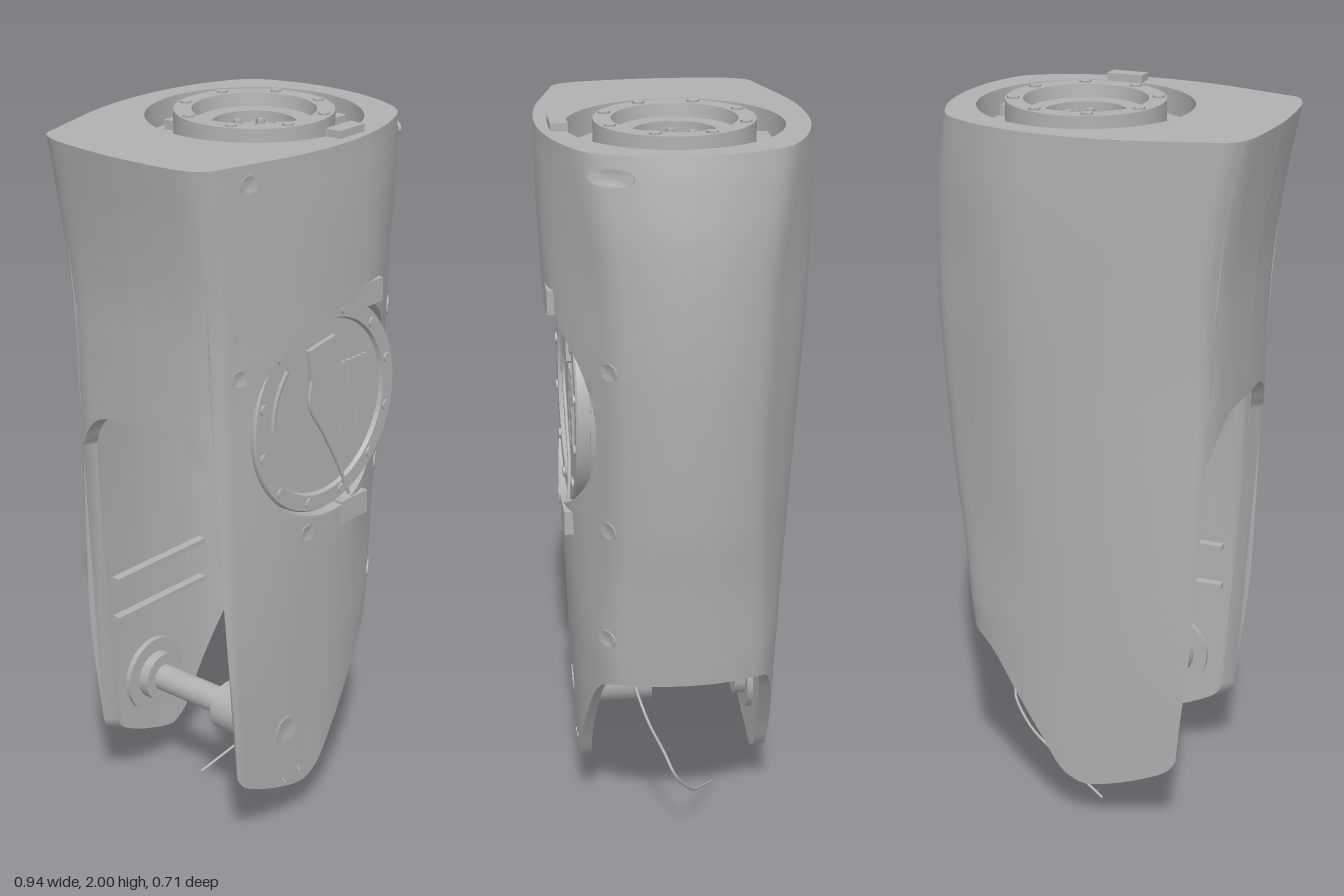
import * as THREE from 'three';
import { toCreasedNormals } from 'three/addons/utils/BufferGeometryUtils.js';
import { ParametricGeometry } from 'three/addons/geometries/ParametricGeometry.js';

const TOP = 1.98, WALL = 0.03, CUT = 0.03;
const DISC = { x: 0.03, y: 1.25, r: 0.294 };
const { smoothstep, lerp } = THREE.MathUtils;

// Smooth interpolation through [position, value] pairs
function table(pts) {
  const slope = i => {
    const a = pts[Math.max(i - 1, 0)], b = pts[Math.min(i + 1, pts.length - 1)];
    return (b[1] - a[1]) / (b[0] - a[0]);
  };
  return p => {
    if (p <= pts[0][0]) return pts[0][1];
    if (p >= pts[pts.length - 1][0]) return pts[pts.length - 1][1];
    let i = 0;
    while (pts[i + 1][0] < p) i++;
    const h = pts[i + 1][0] - pts[i][0], t = (p - pts[i][0]) / h, t2 = t * t, t3 = t2 * t;
    return (2 * t3 - 3 * t2 + 1) * pts[i][1] + (t3 - 2 * t2 + t) * h * slope(i)
      + (3 * t2 - 2 * t3) * pts[i + 1][1] + (t3 - t2) * h * slope(i + 1);
  };
}

// Shell silhouette by height, and the lower hem by x
const leftX = table([[0.13, -0.30], [0.27, -0.31], [0.6, -0.35], [1, -0.376], [1.23, -0.388], [1.4, -0.394], [1.6, -0.406], [1.8, -0.435], [1.98, -0.47]]);
const rightX = table([[0.13, 0.33], [0.53, 0.38], [0.8, 0.412], [1, 0.44], [1.35, 0.466], [1.55, 0.47], [1.75, 0.46], [1.9, 0.437], [1.98, 0.42]]);
const halfZ = table([[0.13, 0.262], [0.5, 0.28], [0.9, 0.304], [1.25, 0.326], [1.55, 0.345], [1.8, 0.355], [1.98, 0.355]]);
const hemY = table([[-0.31, 0.32], [-0.295, 0.27], [-0.27, 0.22], [-0.2, 0.18], [-0.1, 0.145], [-0.03, 0.13], [0, 0.135], [0.05, 0.17], [0.1, 0.25], [0.2, 0.4], [0.25, 0.47], [0.3, 0.51], [0.38, 0.53], [0.5, 0.53]]);
// How much rounder the right side and squarer the left side get by height
const roundRight = table([[0.6, 0], [0.98, 0.14], [1.4, 0.18], [1.65, 0.17], [1.98, 0]]);
const squareLeft = table([[0.13, 0.85], [0.5, 0.8], [0.9, 0.45], [1.3, 0.08], [1.5, 0]]);

// Half of the normalised cross-section, from the left middle to the right middle
const half = new THREE.CatmullRomCurve3([
  [0, 0], [0.008, 0.35], [0.025, 0.62], [0.058, 0.76], [0.11, 0.8], [0.2, 0.865], [0.35, 0.96], [0.52, 1],
  [0.68, 0.965], [0.82, 0.86], [0.92, 0.71], [0.965, 0.5], [0.992, 0.25], [1, 0],
].map(([s, w]) => new THREE.Vector3(s, w * 0.4, 0))).getSpacedPoints(72).map(p => ({ s: p.x, w: p.y / 0.4 }));
half[0].w = half[72].w = 0;

function width(s, w, y) {
  const power = 1 - squareLeft(y) * (1 - smoothstep(s, 0.35, 0.55));
  return Math.sign(w) * Math.abs(w) ** power * (1 - roundRight(y) * smoothstep(s, 0.6, 0.95));
}
function sectionPoint(s, w, y, inset, target) {
  const a = leftX(y) + inset, b = rightX(y) - inset;
  return target.set(a + s * (b - a), y, width(s, w, y) * (halfZ(y) - inset));
}
function frontZ(x, y) {
  const s = (x - leftX(y)) / (rightX(y) - leftX(y));
  let i = 0;
  while (i < 71 && half[i + 1].s < s) i++;
  const a = half[i], b = half[i + 1];
  return halfZ(y) * width(s, lerp(a.w, b.w, (s - a.s) / (b.s - a.s)), y);
}

// Round recess with a crisp edge: nearby points are drawn onto its rim and foot
function recess(p, inner) {
  const dx = p.x - DISC.x, dy = p.y - DISC.y, d = Math.hypot(dx, dy), e = d - DISC.r;
  if (p.z <= 0 || e > 0.06) return;
  if (inner) {
    p.z = lerp(Math.min(p.z, 0.225), p.z, smoothstep(e, 0, 0.05));
    return;
  }
  if (e > 0.012) return;
  const onRim = e > -0.012;
  if (e > -0.036) {
    const k = (onRim ? DISC.r : DISC.r - 0.002) / d;
    p.x = DISC.x + dx * k;
    p.y = DISC.y + dy * k;
  }
  p.z = onRim ? frontZ(p.x, p.y) : 0.25;
}

// Hollow shell, open at the bottom and low on one side
function shellGeometry() {
  const side = [];
  let cut = false;
  for (const p of half) {
    if (!cut && p.s > CUT) { cut = true; side.push({ ...p, open: true }); }
    side.push({ ...p, open: !cut });
  }
  for (const c of side) {
    if (c.open) { c.y = 1.24 - 0.12 * Math.min(1, c.w / 0.65) ** 4; continue; }
    c.y = 0.3;
    for (let k = 0; k < 30; k++) {
      const x = leftX(c.y) + c.s * (rightX(c.y) - leftX(c.y));
      c.y = (c.y + hemY(x)) / 2;
    }
  }
  const cols = [...side.map(c => ({ ...c, w: -c.w })), ...side.slice(0, -1).reverse()];
  const n = 100, rows = 2 * n + 1;
  const geo = new ParametricGeometry((u, v, target) => {
    const c = cols[Math.round(u * (cols.length - 1))], j = Math.round(v * rows);
    const inner = j > n, t = inner ? (j - n - 1) / n : 1 - j / n;
    sectionPoint(c.s, c.w, c.y + (TOP - c.y) * t, inner ? WALL : 0, target);
    recess(target, inner);
  }, cols.length - 1, rows);
  return toCreasedNormals(geo, 0.7);
}

export function createModel() {
  const model = new THREE.Group();
  model.name = 'limbShell';
  const grey = new THREE.MeshStandardMaterial({ color: 0xb0b0b0 });
  grey.name = 'grey';
  const add = (name, geo, x = 0, y = 0, z = 0, parent = model) => {
    const m = new THREE.Mesh(geo, grey);
    m.name = name;
    m.position.set(x, y, z);
    parent.add(m);
    return m;
  };
  const box = (name, w, h, d, x, y, z, parent) => add(name, new THREE.BoxGeometry(w, h, d), x, y, z, parent);
  const lathe = (pts, seg = 48) => toCreasedNormals(
    new THREE.LatheGeometry(pts.map(p => new THREE.Vector2(...p)), seg), 0.5);
  const rod = (name, r, z0, z1, x, y, parent) => {
    const geo = new THREE.CylinderGeometry(r, r, z1 - z0, 32).rotateX(Math.PI / 2);
    return add(name, geo, x, y, (z0 + z1) / 2, parent);
  };
  const wire = (name, pts, r, parent) => add(name, new THREE.TubeGeometry(
    new THREE.CatmullRomCurve3(pts.map(p => new THREE.Vector3(...p))), 48, r, 8), 0, 0, 0, parent);

  add('shell', shellGeometry());

  // Top plate with round opening
  const p = new THREE.Vector3();
  const ring = [...half, ...half.slice(1, -1).reverse().map(c => ({ s: c.s, w: -c.w }))]
    .map(c => { sectionPoint(c.s, c.w, TOP, 0, p); return new THREE.Vector2(p.x, p.z); });
  const plate = new THREE.Shape(ring);
  plate.holes.push(new THREE.Path().absarc(0.07, 0, 0.285, 0, Math.PI * 2));
  add('topPlate', new THREE.ShapeGeometry(plate, 24).rotateX(-Math.PI / 2), 0, TOP, 0);

  // Stepped joint socket in the top
  const socket = new THREE.Group();
  socket.name = 'jointSocket';
  socket.position.set(0.07, 0, 0);
  model.add(socket);
  add('socketRings', lathe([[0.285, 1.98], [0.285, 1.91], [0.21, 1.91], [0.21, 1.995], [0.163, 1.995],
    [0.158, 1.96], [0.11, 1.96], [0.11, 1.93], [0, 1.93]]), 0, 0, 0, socket);
  for (let i = 0; i < 8; i++) {
    const a = (i + 0.5) * Math.PI / 4;
    add('socketBolt', new THREE.CylinderGeometry(0.016, 0.016, 0.008, 6), 0.188 * Math.cos(a), 1.996, 0.188 * Math.sin(a), socket);
    if (i < 7) add('innerBolt', new THREE.CylinderGeometry(0.012, 0.014, 0.02, 5),
      0.07 * Math.cos(a * 1.14), 1.94, 0.07 * Math.sin(a * 1.14), socket);
  }
  box('frontTab', 0.1, 0.06, 0.045, 0, 1.97, 0.3, socket);
  box('backTab', 0.14, 0.03, 0.05, 0, 1.92, -0.228, socket);
  for (const s of [-1, 1]) box('sideTab', 0.07, 0.04, 0.03, s * 0.237, 1.92, 0.075, socket);

  // Round service cover on the front
  const cover = new THREE.Group();
  cover.name = 'serviceCover';
  cover.position.set(DISC.x, DISC.y, 0);
  model.add(cover);
  add('coverRing', lathe([[0.289, 0.245], [0.289, 0.282], [0.285, 0.287], [0.243, 0.287], [0.238, 0.276], [0, 0.276]], 64)
    .rotateX(Math.PI / 2), 0, 0, 0, cover);
  for (let i = 0; i < 12; i++) {
    const a = (i + 0.5) * Math.PI / 6;
    rod('coverBolt', 0.014, 0.28, 0.293, 0.264 * Math.cos(a), 0.264 * Math.sin(a), cover);
  }
  for (let i = 0; i < 5; i++) box('grilleBar', 0.012, 0.2, 0.012, 0.075 + i * 0.022, 0.005, 0.281, cover);
  box('connector', 0.11, 0.09, 0.014, -0.015, 0.14, 0.282, cover).rotation.z = 0.15;
  add('curvedSlot', new THREE.TorusGeometry(0.205, 0.008, 6, 16, 0.8).rotateZ(2.4), 0, 0, 0.275, cover);
  wire('coverCable', [[-0.05, 0.12, 0.284], [-0.07, 0.03, 0.286], [-0.01, -0.07, 0.286], [0.06, -0.19, 0.286], [0.1, -0.29, 0.295]], 0.005, cover);
  box('upperClip', 0.11, 0.065, 0.08, 0.1, 0.3, 0.305, cover);
  box('lowerClip', 0.11, 0.065, 0.06, 0.1, -0.315, 0.28, cover);

  // Screws set into the front, stretched where the wall slopes away
  const screws = [[-0.3, 1.93], [0.39, 1.925], [-0.3, 1.42], [0.385, 1.425], [-0.06, 0.92], [0.345, 0.975], [0.32, 0.655],
    [-0.1, 0.33, 0.042], [-0.04, 0.18, 0.008], [-0.1, 0.165, 0.008]];
  for (const [x, y, r = 0.025] of screws) {
    const e = 0.01, z = frontZ(x, y);
    const n = new THREE.Vector3((frontZ(x - e, y) - frontZ(x + e, y)) / (2 * e),
      (frontZ(x, y - e) - frontZ(x, y + e)) / (2 * e), 1).normalize();
    const cap = add('screw', lathe([[r, -0.006], [r, 0.003], [r * 0.75, 0.003], [r * 0.6, 0.001], [0, 0.001]], 16)
      .rotateX(Math.PI / 2), x, y, z);
    cap.lookAt(x + n.x, y + n.y, z + n.z);
    cap.scale.x = Math.min(3, 1 / n.z);
  }

  // Lower axle between the two side plates
  rod('frontBoss', 0.07, 0.05, 0.235, -0.1, 0.33);
  rod('axle', 0.038, -0.2, 0.06, -0.1, 0.33);
  rod('backBoss', 0.07, -0.235, -0.19, -0.1, 0.33);
  for (const s of [-1, 1]) {
    rod('axlePad', 0.11, s * 0.228 - 0.008, s * 0.228 + 0.008, -0.1, 0.33);
    for (const y of [0.56, 0.68]) box('rib', 0.36, 0.015, 0.025, -0.07, y, s * 0.228);
  }

  // Stop block and inner housing
  box('stopBlock', 0.08, 0.12, 0.06, 0.2, 0.53, 0);
  box('innerHousing', 0.22, 0.18, 0.2, 0.18, 0.86, 0.08);

  // Loose cable hanging below
  wire('cable', [[0.1, 0.8, 0.17], [0.06, 0.5, 0.14], [0.15, 0.325, 0.09], [0.27, 0.275, 0.055], [0.312, 0.225, 0.03],
    [0.25, 0.145, -0.02], [0.1, 0.067, -0.08], [-0.02, 0.008, -0.12]], 0.004);

  return model;
}
